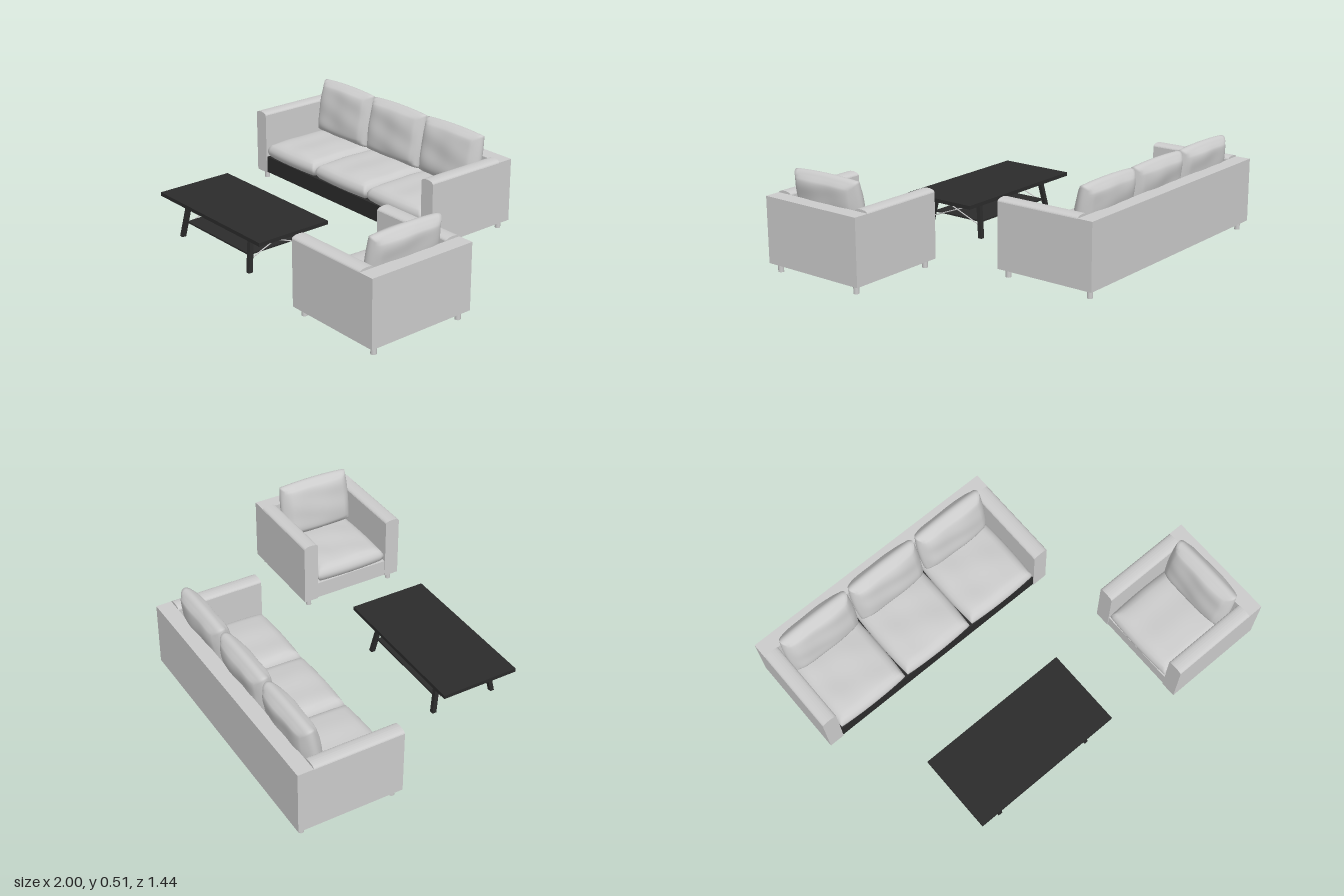
import * as THREE from 'three';
import { mergeVertices } from 'three/addons/utils/BufferGeometryUtils.js';

const fabric = new THREE.MeshStandardMaterial({ color: 0xcccccc });
const dark = new THREE.MeshStandardMaterial({ color: 0x2b2b2b });

const ARM = 0.08, SEAT_DEPTH = 0.455, BACK = 0.08, FLOOR = 0.043;

function add(parent, name, geometry, material, x = 0, y = 0, z = 0) {
  const mesh = new THREE.Mesh(geometry, material);
  mesh.name = name;
  mesh.position.set(x, y, z);
  parent.add(mesh);
  return mesh;
}

// Box given by its min and max corners
function block(parent, name, material, [x0, y0, z0], [x1, y1, z1]) {
  return add(parent, name, new THREE.BoxGeometry(x1 - x0, y1 - y0, z1 - z0), material,
    (x0 + x1) / 2, (y0 + y1) / 2, (z0 + z1) / 2);
}

// Stuffed cushion: thick in the middle, thinner at the border, with soft creases
function cushionGeometry(width, height, thickness, edge, seed) {
  let geo = new THREE.BoxGeometry(2, 2, 2, 22, 22, 8);
  geo.deleteAttribute('normal');
  geo.deleteAttribute('uv');
  geo = mergeVertices(geo);
  const p = geo.attributes.position;
  for (let i = 0; i < p.count; i++) {
    const u = p.getX(i), v = p.getY(i), w = p.getZ(i);
    const puff = Math.sqrt((1 - u ** 4) * (1 - v ** 4));
    const crease = 0.004 * puff * Math.sin(4 * u + 3 * v + seed) * Math.cos(3 * v - 2 * u + seed);
    const round = 0.016 * w * w;
    const corner = 0.008 * u * u * v * v;
    p.setXYZ(i,
      u * (width / 2 - round - corner),
      v * (height / 2 - round - corner),
      w * (thickness / 2 * (edge + (1 - edge) * puff) + crease));
  }
  geo.computeVertexNormals();
  return geo;
}

// Arm with a gently crowned top, extruded from front to back
function armGeometry() {
  const h = ARM / 2;
  const s = new THREE.Shape();
  s.moveTo(-h, FLOOR);
  s.lineTo(h, FLOOR);
  s.lineTo(h, 0.372);
  s.quadraticCurveTo(h * 0.9, 0.386, 0, 0.387);
  s.quadraticCurveTo(-h * 0.9, 0.386, -h, 0.372);
  s.closePath();
  return new THREE.ExtrudeGeometry(s, { depth: SEAT_DEPTH, bevelEnabled: false, curveSegments: 6 });
}

// Seat unit facing +z, front edge at z = 0
function createSeating(name, width, places, baseMaterial) {
  const g = new THREE.Group();
  g.name = name;
  const half = width / 2, inner = half - ARM;
  const depth = SEAT_DEPTH + BACK;

  block(g, 'backPanel', fabric, [-half, FLOOR, -depth], [half, 0.374, -SEAT_DEPTH]);
  block(g, 'base', baseMaterial, [-inner, FLOOR + 0.003, -SEAT_DEPTH], [inner, 0.135, -0.004]);

  for (const side of [-1, 1]) {
    add(g, 'arm', armGeometry(), fabric, side * (half - ARM / 2), 0, -SEAT_DEPTH);
    for (const z of [-0.033, 0.035 - depth]) {
      add(g, 'leg', new THREE.CylinderGeometry(0.014, 0.014, FLOOR, 16), fabric,
        side * (half - 0.04), FLOOR / 2, z);
    }
  }

  const pitch = 2 * inner / places;
  for (let i = 0; i < places; i++) {
    const x = -inner + pitch * (i + 0.5);
    const seat = add(g, 'seatCushion', cushionGeometry(pitch, 0.455, 0.112, 0.62, i * 2), fabric,
      x, 0.17, -0.223);
    seat.rotation.x = -Math.PI / 2;
    const back = add(g, 'backCushion', cushionGeometry(pitch - 0.004, 0.302, 0.118, 0.5, i + 1), fabric,
      x, 0.357, -0.397);
    back.rotation.x = -0.17;
  }
  return g;
}

// Thin round rod between two points
function rod(parent, name, a, b, radius, material) {
  const geo = new THREE.TubeGeometry(new THREE.LineCurve3(a, b), 1, radius, 8);
  return add(parent, name, geo, material);
}

function createTable() {
  const g = new THREE.Group();
  g.name = 'coffeeTable';
  block(g, 'tableTop', dark, [-0.41, 0.187, -0.205], [0.41, 0.206, 0.205]);
  block(g, 'shelf', dark, [-0.258, 0.076, -0.155], [0.258, 0.084, 0.155]);

  for (const sx of [-1, 1]) {
    for (const sz of [-1, 1]) {
      // Splayed square leg, sheared so both ends stay level
      const geo = new THREE.BoxGeometry(0.022, 0.19, 0.022);
      const p = geo.attributes.position;
      for (let i = 0; i < p.count; i++) {
        const y = p.getY(i);
        p.setX(i, p.getX(i) - sx * y * 0.13);
        p.setZ(i, p.getZ(i) - sz * y * 0.17);
      }
      geo.computeVertexNormals();
      add(g, 'tableLeg', geo, dark, sx * 0.267, 0.095, sz * 0.154);
      // Crossed brace at each end
      rod(g, 'crossBrace',
        new THREE.Vector3(sx * 0.268, 0.06, sz * 0.155),
        new THREE.Vector3(sx * 0.262, 0.172, -sz * 0.142), 0.003, fabric);
    }
  }
  return g;
}

export function createModel() {
  const model = new THREE.Group();
  model.name = 'livingRoomSet';

  const sofa = createSeating('sofa', 1.4, 3, dark);
  sofa.position.set(-0.3, 0, -0.187);

  const armchair = createSeating('armchair', 0.575, 1, fabric);
  armchair.position.set(0.463, 0, 0.43);
  armchair.rotation.y = -Math.PI / 2;

  const table = createTable();
  table.position.set(-0.3, 0, 0.43);

  model.add(sofa, armchair, table);
  return model;
}
